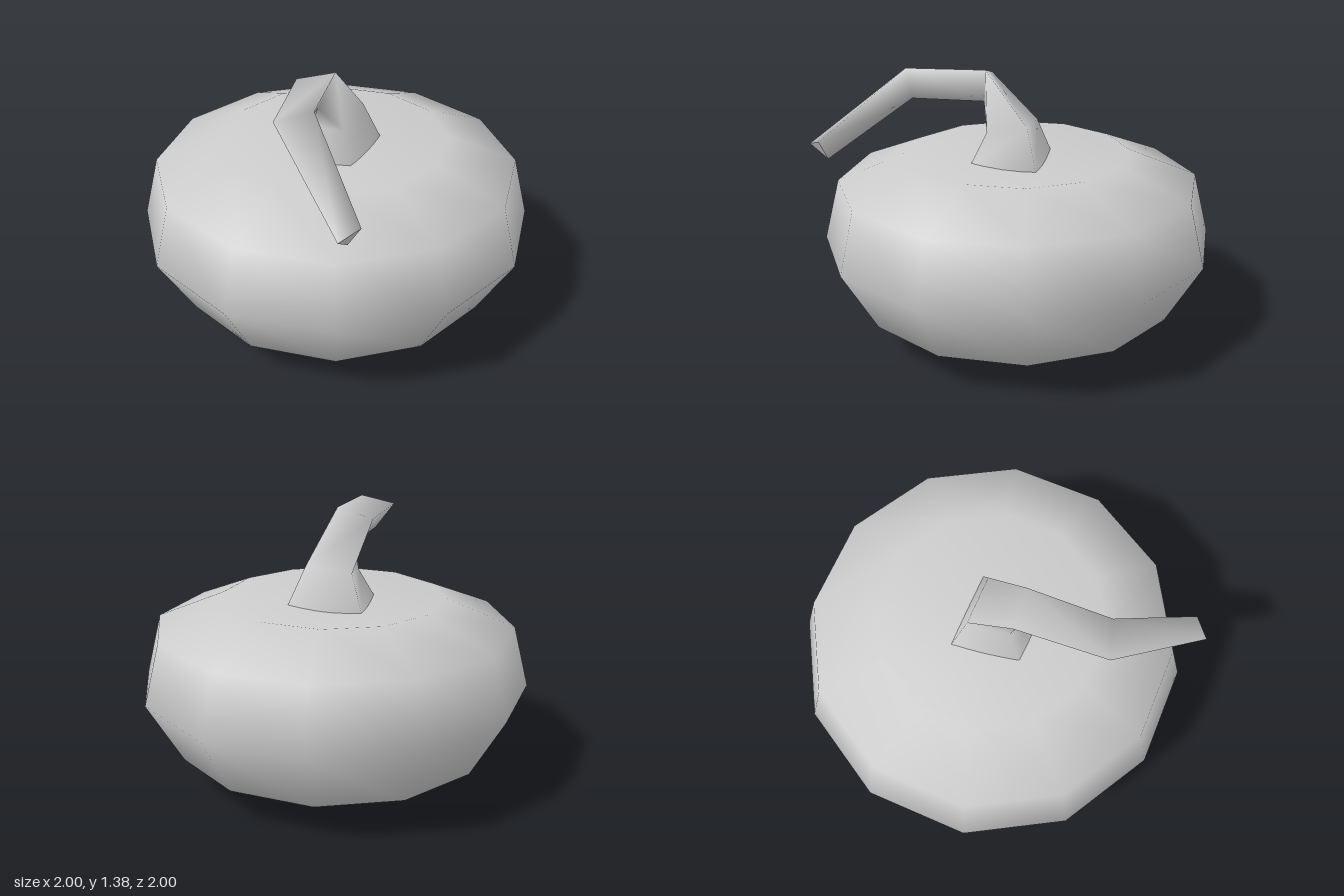
import * as THREE from 'three';
import { mergeVertices } from 'three/addons/utils/BufferGeometryUtils.js';

// Weld coincident corners so the shading runs smoothly over the whole part
function smooth(geometry) {
  geometry.deleteAttribute('normal');
  geometry.deleteAttribute('uv');
  const welded = mergeVertices(geometry, 1e-4);
  welded.computeVertexNormals();
  return welded;
}

// Skin a list of four-cornered rings; coinciding corners make a three-sided tube
function skin(rings) {
  const geometry = new THREE.BufferGeometry();
  geometry.setAttribute('position', new THREE.Float32BufferAttribute(rings.flat(2), 3));
  const index = [];
  for (let r = 0; r < rings.length - 1; r++) {
    for (let i = 0; i < 4; i++) {
      const a = r * 4 + i, a1 = r * 4 + (i + 1) % 4;
      index.push(a, a + 4, a1, a1, a + 4, a1 + 4);
    }
  }
  geometry.setIndex(index);
  return smooth(geometry);
}

export function createModel() {
  const model = new THREE.Group();
  const grey = new THREE.MeshStandardMaterial({ color: 0xcccccc });
  grey.name = 'light grey';
  const add = (name, geometry) => {
    const mesh = new THREE.Mesh(geometry, grey);
    mesh.name = name;
    model.add(mesh);
  };

  // Squat twelve-sided body with a shallow dip on top
  const profile = [[0, 0], [0.82, 0.19], [1, 0.51], [0.92, 0.82], [0.57, 0.96], [0, 0.89]]
    .map(([x, y]) => new THREE.Vector2(x, y));
  add('body', smooth(new THREE.LatheGeometry(profile, 12)));

  // Bent stem: flared foot, neck, two elbows and the tip
  const tri = (left, right, under) => [left, right, under, under];
  const tip = [[0.53, 1.02, 0.9], [0.585, 1.055, 0.8], [0.52, 0.95, 0.8]];
  add('stem', skin([
    [[-0.235, 0.9, -0.08], [0.165, 0.9, -0.185], [0.19, 0.9, 0.18], [-0.09, 0.9, 0.25]],
    [[-0.14, 1.1, -0.04], [0.1, 1.12, -0.1], [0.11, 1.07, 0.12], [-0.05, 1.07, 0.15]],
    tri([-0.1, 1.33, 0.2], [0.08, 1.38, 0.14], [0.01, 1.2, 0.19]),
    tri([0.05, 1.33, 0.63], [0.2, 1.375, 0.53], [0.12, 1.2, 0.55]),
    tri(...tip),
  ]));

  // Flat cut end of the stem
  const cap = new THREE.BufferGeometry();
  cap.setAttribute('position', new THREE.Float32BufferAttribute([...tip].reverse().flat(), 3));
  cap.computeVertexNormals();
  add('stemEnd', cap);

  return model;
}
